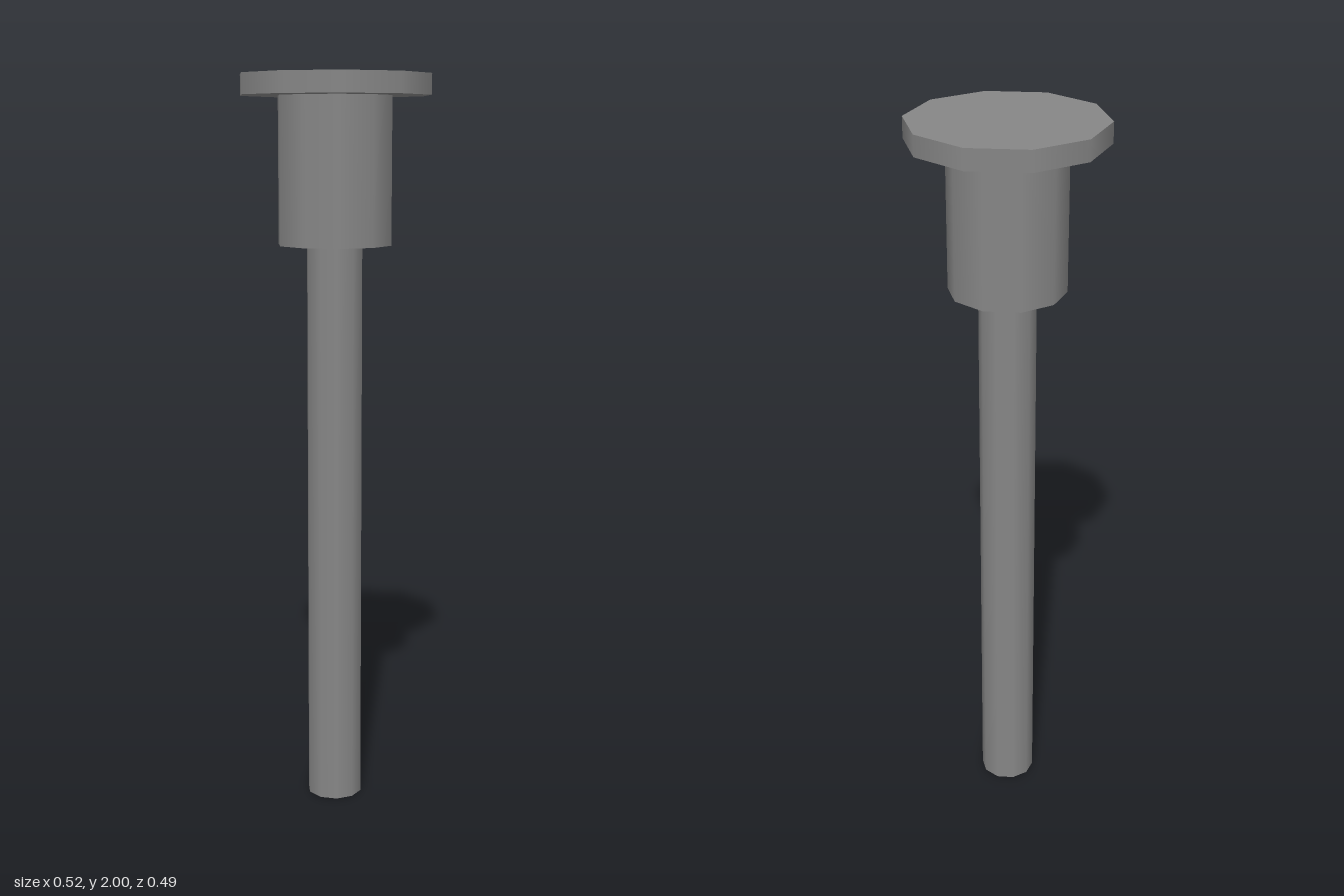
import * as THREE from 'three';

const SIDES = 10;

export function createModel() {
  const group = new THREE.Group();
  const material = new THREE.MeshStandardMaterial({ color: 0x868686, side: THREE.DoubleSide });

  // One ten-sided band per profile segment: smooth around, sharp between bands.
  const band = (name, r0, y0, r1, y1) => {
    const points = [new THREE.Vector2(r0, y0), new THREE.Vector2(r1, y1)];
    const geometry = new THREE.LatheGeometry(points, SIDES, Math.PI / 2);
    geometry.normalizeNormals();
    const mesh = new THREE.Mesh(geometry, material);
    mesh.name = name;
    group.add(mesh);
  };

  const shaftR = 0.076, collarR = 0.155, headR = 0.259;
  const collarY = 1.555, headY = 1.945, topY = 2;

  // Hollow shaft, open at the foot
  band('shaft', shaftR, 0, shaftR, collarY);

  // Thicker collar with its underside
  band('collarUnderside', shaftR, collarY, collarR, collarY);
  band('collar', collarR, collarY, collarR, headY);

  // Flat head disc
  band('headUnderside', collarR, headY, headR, headY);
  band('headRim', headR, headY, headR, topY);
  band('headTop', headR, topY, 0, topY);

  return group;
}
